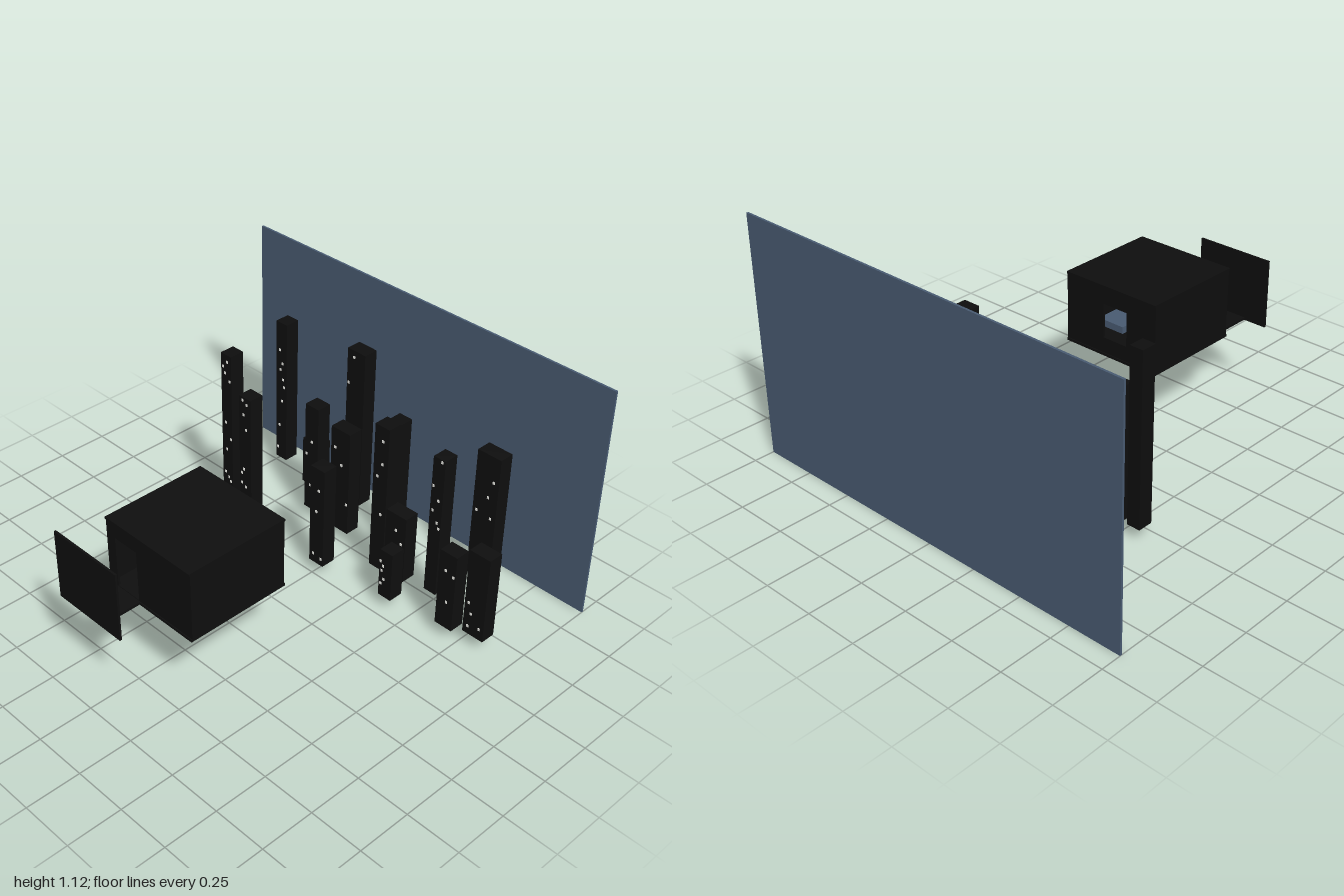
import * as THREE from 'three';

const black = new THREE.MeshStandardMaterial({ color: 0x0e0e0e });
black.name = 'nightBlack';
const skyBlue = new THREE.MeshStandardMaterial({ color: 0x485a71 });
skyBlue.name = 'duskBlue';
const lit = new THREE.MeshStandardMaterial({ color: 0xf6f6f0 });
lit.name = 'windowLight';

// box given by its minimum and maximum corners
function block(parent, name, mat, [x0, y0, z0], [x1, y1, z1]) {
  const mesh = new THREE.Mesh(new THREE.BoxGeometry(x1 - x0, y1 - y0, z1 - z0), mat);
  mesh.position.set((x0 + x1) / 2, (y0 + y1) / 2, (z0 + z1) / 2);
  mesh.name = name;
  parent.add(mesh);
  return mesh;
}

// upright wall facing z with one rectangular opening
function wallWithOpening(parent, name, [x0, y0, x1, y1], [a0, b0, a1, b1], z, depth) {
  const rect = (T, l, b, r, t) => {
    const s = new T();
    s.moveTo(l, b); s.lineTo(r, b); s.lineTo(r, t); s.lineTo(l, t); s.closePath();
    return s;
  };
  const shape = rect(THREE.Shape, x0, y0, x1, y1);
  shape.holes.push(rect(THREE.Path, a0, b0, a1, b1));
  const mesh = new THREE.Mesh(new THREE.ExtrudeGeometry(shape, { depth, bevelEnabled: false }), black);
  mesh.position.z = z;
  mesh.name = name;
  parent.add(mesh);
}

const BASE = 0.063;

// tower with small lit windows on its front; windows are [x offset, height] pairs
function tower(city, x, z, width, top, windows) {
  const g = new THREE.Group();
  g.name = 'tower';
  g.position.set(x, 0, z);
  const d = 0.036;
  block(g, 'towerBody', black, [-width / 2, BASE, -d], [width / 2, top, d]);
  for (const [u, y] of windows) {
    block(g, 'litWindow', lit, [u - 0.005, y - 0.006, d - 0.002], [u + 0.005, y + 0.006, d + 0.003]);
  }
  city.add(g);
}

export function createModel() {
  const model = new THREE.Group();
  model.name = 'cityRoomScene';

  // sky backdrop
  block(model, 'skyBackdrop', skyBlue, [-1, 0, -0.905], [1, 1.122, -0.895]);

  // skyline
  const city = new THREE.Group();
  city.name = 'skyline';
  model.add(city);
  tower(city, -0.677, -0.748, 0.068, 0.81, [[-0.01, 0.665], [0.007, 0.596], [-0.004, 0.56], [0.012, 0.51],
    [0.018, 0.47], [0.007, 0.39], [-0.01, 0.25], [-0.02, 0.12]]);
  tower(city, -0.577, -0.312, 0.064, 0.864, [[0.008, 0.83], [-0.018, 0.8], [-0.007, 0.77], [0.022, 0.735],
    [-0.007, 0.51], [0.024, 0.43], [-0.002, 0.366], [-0.013, 0.238], [0.008, 0.216], [0.018, 0.195]]);
  tower(city, -0.481, -0.332, 0.074, 0.676, [[-0.013, 0.66], [0.013, 0.644], [-0.008, 0.585], [0.008, 0.51],
    [-0.008, 0.29], [-0.023, 0.265], [0.003, 0.195], [-0.023, 0.211]]);
  tower(city, -0.417, -0.69, 0.104, 0.307, [[0.03, 0.222], [0.035, 0.136]]);
  tower(city, -0.193, -0.735, 0.104, 0.87, [[-0.012, 0.837], [-0.04, 0.698], [-0.002, 0.2], [0.035, 0.168],
    [0.008, 0.136]]);
  tower(city, -0.283, -0.556, 0.08, 0.622, [[0.003, 0.436], [-0.03, 0.36], [-0.002, 0.195]]);
  tower(city, -0.086, -0.537, 0.112, 0.6, [[0.046, 0.222], [-0.03, 0.5], [0.01, 0.42]]);
  tower(city, 0.02, -0.288, 0.082, 0.57, [[-0.017, 0.11], [0.03, 0.1], [-0.002, 0.345], [0.01, 0.46]]);
  tower(city, 0.117, -0.655, 0.07, 0.685, [[-0.023, 0.29], [-0.002, 0.295], [0.015, 0.52], [-0.01, 0.6]]);
  tower(city, 0.224, -0.457, 0.08, 0.805, [[0.008, 0.735], [0.013, 0.36], [-0.015, 0.55], [0.01, 0.62]]);
  tower(city, 0.319, -0.465, 0.116, 0.4, [[0.004, 0.318], [0.036, 0.259], [-0.033, 0.195]]);
  tower(city, 0.39, -0.332, 0.07, 0.307, [[-0.028, 0.248], [-0.013, 0.227], [-0.007, 0.158], [-0.023, 0.13],
    [-0.02, 0.2]]);
  tower(city, 0.5, -0.502, 0.064, 0.76, [[-0.021, 0.618], [0.016, 0.75], [0.011, 0.554], [-0.016, 0.495],
    [0.011, 0.44], [0.022, 0.415]]);
  tower(city, 0.582, -0.725, 0.124, 0.714, [[0.036, 0.59], [0.014, 0.505], [-0.04, 0.414], [0.036, 0.404],
    [0.02, 0.211], [0.036, 0.104]]);
  tower(city, 0.69, -0.371, 0.09, 0.45, [[-0.008, 0.36], [0.034, 0.345], [0.008, 0.2]]);
  tower(city, 0.816, -0.412, 0.108, 0.49, [[-0.033, 0.227], [-0.017, 0.174], [-0.028, 0.104], [0.031, 0.12]]);

  // hollow room with a rear window and a front doorway
  const room = new THREE.Group();
  room.name = 'room';
  model.add(room);
  block(room, 'roomFloor', black, [-0.2, 0.365, 0.212], [0.3, 0.377, 0.712]);
  block(room, 'roomCeiling', black, [-0.2, 0.69, 0.212], [0.3, 0.7, 0.712]);
  for (const x of [-0.2, 0.29]) {
    block(room, 'sideWall', black, [x, 0.377, 0.217], [x + 0.01, 0.69, 0.707]);
  }
  wallWithOpening(room, 'windowWall', [-0.19, 0.377, 0.29, 0.69], [-0.04, 0.45, 0.09, 0.61], 0.217, 0.01);
  wallWithOpening(room, 'doorWall', [-0.19, 0.377, 0.29, 0.69], [-0.15, 0.38, -0.02, 0.62], 0.697, 0.01);
  block(room, 'bed', skyBlue, [0.14, 0.377, 0.4], [0.28, 0.41, 0.66]);

  // walkway and end panel
  block(model, 'walkway', black, [-0.16, 0.365, 0.71], [-0.012, 0.377, 0.9]);
  block(model, 'endPanel', black, [-0.273, 0.365, 0.895], [0.102, 0.69, 0.905]);

  return model;
}
